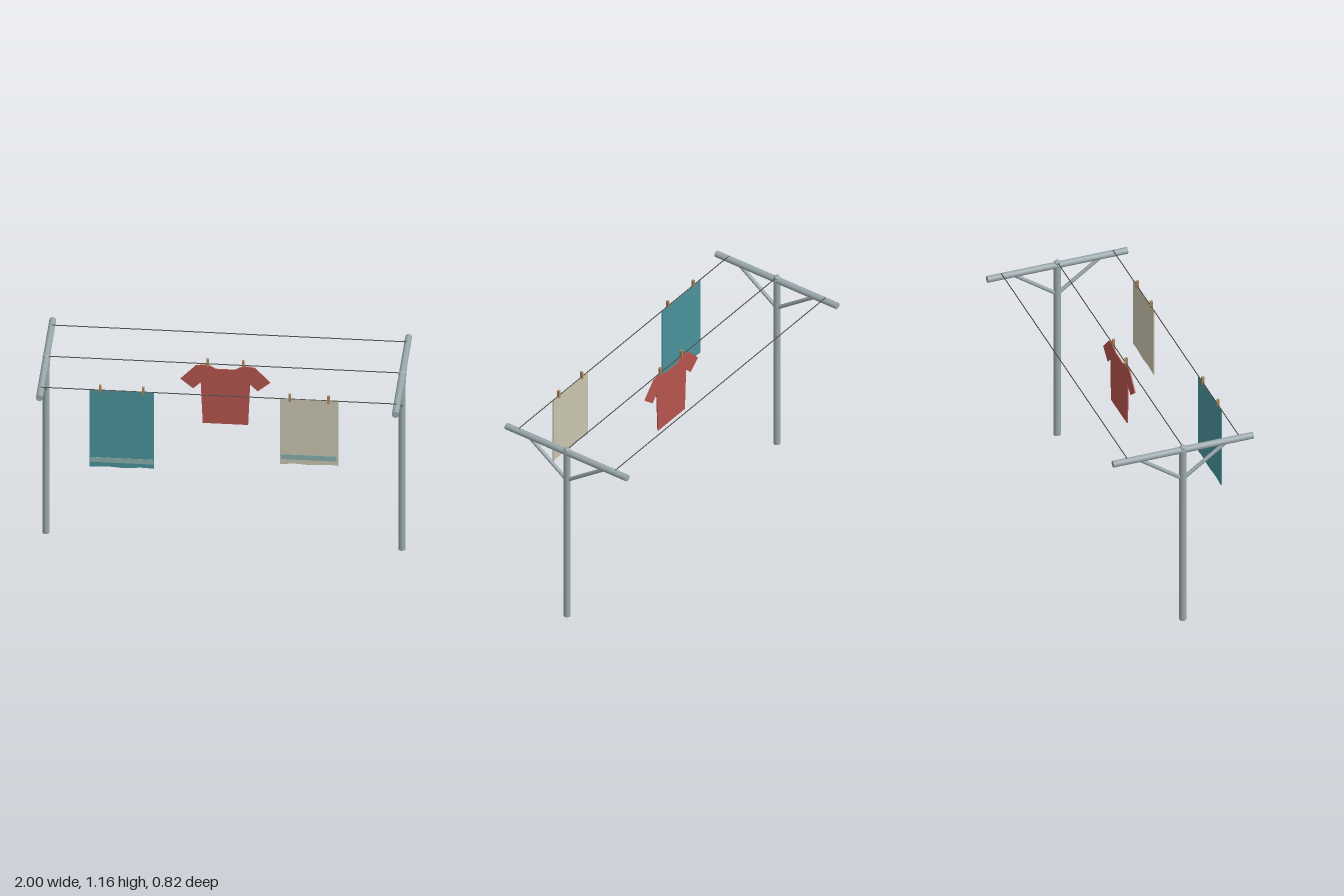
import * as THREE from 'three';

const paint = (name, color) => {
  const m = new THREE.MeshStandardMaterial({ color });
  m.name = name;
  return m;
};

export function createModel() {
  const steel = paint('galvanised steel', 0x9aa8ab);
  const cord = paint('line cord', 0x4a4a48);
  const teal = paint('teal cloth', 0x4a929a);
  const cream = paint('cream cloth', 0xc9c4af);
  const red = paint('red cloth', 0xb5544c);
  const band = paint('pale teal band', 0x86adab);
  const wood = paint('peg wood', 0xa98559);

  const model = new THREE.Group();
  model.name = 'clothesline';
  const LINE_Y = 1.133, LINE_Z = 0.327, POST_X = 0.98, CLOTH = 0.006;

  const add = (parent, name, geometry, material, x = 0, y = 0, z = 0) => {
    const mesh = new THREE.Mesh(geometry, material);
    mesh.name = name;
    mesh.position.set(x, y, z);
    parent.add(mesh);
    return mesh;
  };

  // Round bar between two points
  const rod = (parent, name, a, b, radius, material, sides = 16) => {
    const from = new THREE.Vector3(...a), to = new THREE.Vector3(...b);
    const dir = to.clone().sub(from);
    const mesh = add(parent, name, new THREE.CylinderGeometry(radius, radius, dir.length(), sides), material);
    mesh.position.copy(from).lerp(to, 0.5);
    mesh.quaternion.setFromUnitVectors(new THREE.Vector3(0, 1, 0), dir.normalize());
  };

  // T-shaped end posts with diagonal braces
  for (const side of [-1, 1]) {
    const frame = new THREE.Group();
    frame.name = side > 0 ? 'leftPost' : 'rightPost';
    frame.position.x = side * POST_X;
    model.add(frame);
    rod(frame, 'post', [0, 0, 0], [0, 1.115, 0], 0.02, steel, 20);
    rod(frame, 'crossbar', [0, 1.114, -0.41], [0, 1.114, 0.41], 0.019, steel, 20);
    for (const s of [-1, 1]) rod(frame, 'brace', [0, 0.925, 0], [0, 1.108, s * 0.255], 0.011, steel, 12);
    add(frame, 'cap', new THREE.SphereGeometry(0.019, 16, 10), steel, 0, 1.13, 0).scale.y = 0.75;
  }

  // Three parallel lines
  for (const z of [-LINE_Z, 0, LINE_Z]) {
    rod(model, 'line', [-POST_X, LINE_Y, z], [POST_X, LINE_Y, z], 0.0028, cord, 8);
  }

  const cloth = (name, shape, material, z) => add(model, name,
    new THREE.ExtrudeGeometry(shape, { depth: CLOTH, bevelEnabled: false }), material, 0, 0, z - CLOTH / 2);

  // Towels with a gently wavy hem and a band on the front
  const towel = (name, x0, x1, bottom, material, bx0, bx1, by0, by1) => {
    const shape = new THREE.Shape();
    shape.moveTo(x1, LINE_Y);
    shape.lineTo(x0, LINE_Y);
    for (let i = 0; i <= 16; i++) {
      const t = i / 16;
      shape.lineTo(x0 + (x1 - x0) * t, bottom + 0.003 * Math.sin(t * 11 - 1.2) + 0.004 * t);
    }
    cloth(name, shape, material, LINE_Z);
    add(model, name + 'Band', new THREE.BoxGeometry(bx1 - bx0, by1 - by0, 0.002), band,
      (bx0 + bx1) / 2, (by0 + by1) / 2, LINE_Z + CLOTH / 2 + 0.001);
  };
  towel('tealTowel', -0.711, -0.357, 0.641, teal, -0.709, -0.359, 0.672, 0.702);
  towel('creamTowel', 0.337, 0.659, 0.716, cream, 0.345, 0.65, 0.747, 0.778);

  // T-shirt, outlined from one half and mirrored
  const half = [[0.052, 1.102], [0.1, 1.129], [0.163, 1.119], [0.247, 1.03],
    [0.178, 0.972], [0.136, 1.013], [0.125, 0.753]];
  const outline = [...half, ...half.map(([x, y]) => [-x, y]).reverse()];
  cloth('shirt', new THREE.Shape(outline.map(([x, y]) => new THREE.Vector2(x + 0.008, y))), red, 0);

  // Pegs
  const pegs = [[-0.652, LINE_Z], [-0.415, LINE_Z], [-0.09, 0], [0.107, 0], [0.391, LINE_Z], [0.605, LINE_Z]];
  for (const [x, z] of pegs) {
    add(model, 'peg', new THREE.BoxGeometry(0.013, 0.046, 0.015), wood, x, 1.142, z + 0.002);
  }
  return model;
}
